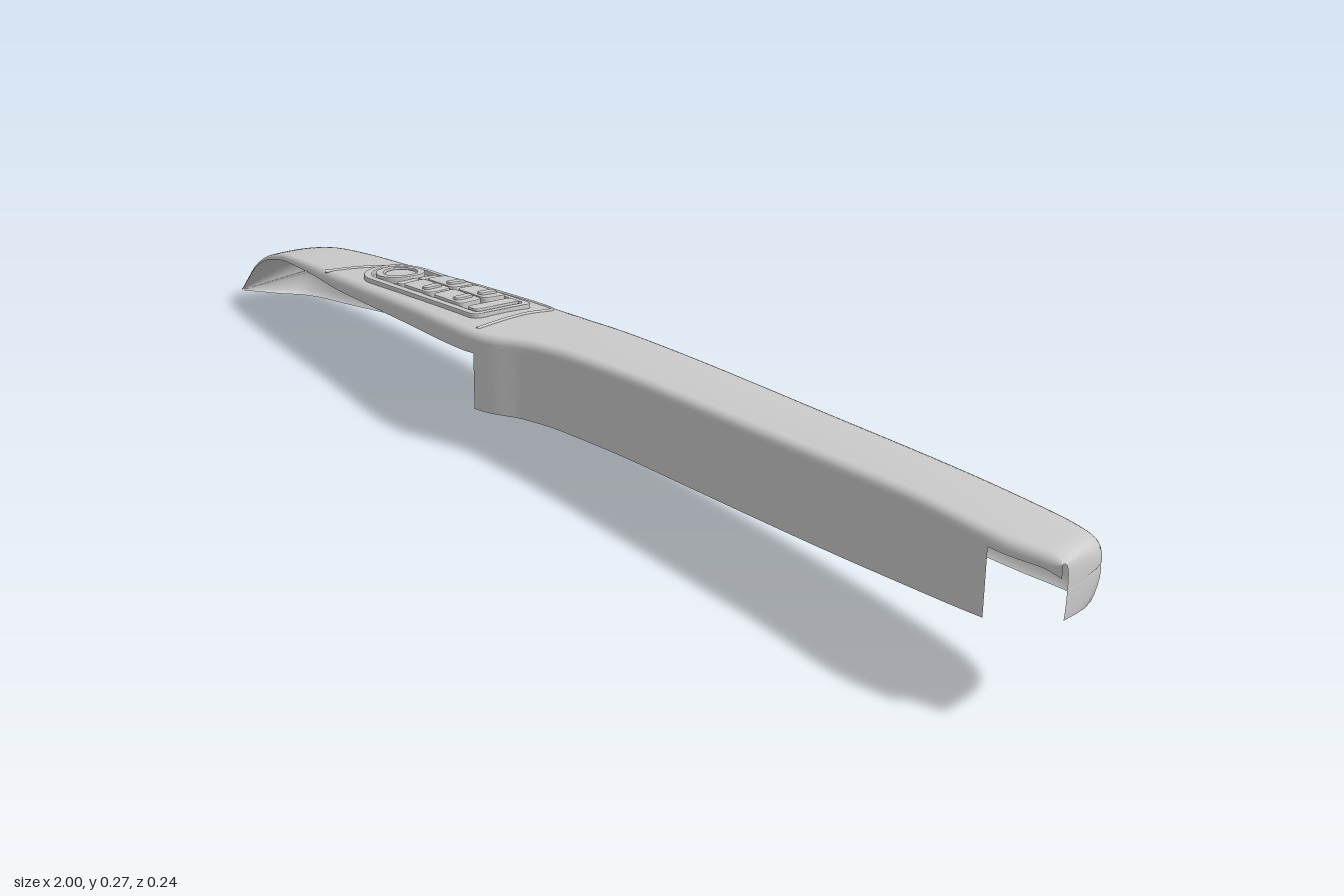
import * as THREE from 'three';

const mat = new THREE.MeshStandardMaterial({ color: 0xcccccc, side: THREE.DoubleSide });

// Monotone cubic curve through [x, value] points
function curve(...p) {
  const n = p.length;
  const d = p.slice(1).map((q, i) => (q[1] - p[i][1]) / (q[0] - p[i][0]));
  const m = p.map((_, i) => {
    if (i === 0) return d[0];
    if (i === n - 1) return d[n - 2];
    return d[i - 1] * d[i] <= 0 ? 0 : (2 * d[i - 1] * d[i]) / (d[i - 1] + d[i]);
  });
  return (x) => {
    let i = 0;
    while (i < n - 2 && x > p[i + 1][0]) i++;
    const h = p[i + 1][0] - p[i][0];
    const t = Math.min(1, Math.max(0, (x - p[i][0]) / h));
    const u = 1 - t;
    return p[i][1] * (1 + 2 * t) * u * u + m[i] * h * t * u * u
      + p[i + 1][1] * t * t * (3 - 2 * t) - m[i + 1] * h * t * t * u;
  };
}

// Outline curves along the length
const top = curve([-1, 0.012], [-0.97, 0.045], [-0.93, 0.085], [-0.87, 0.12], [-0.8, 0.14],
  [-0.6, 0.162], [-0.17, 0.206], [0.4, 0.241], [0.9, 0.267], [0.97, 0.268], [1, 0.262]);
const bottom = curve([-1, 0.008], [-0.93, 0], [-0.88, 0.003], [-0.6, 0.037], [-0.17, 0.077],
  [0.7, 0.125], [0.89, 0.145], [0.97, 0.165], [1, 0.18]);
const back = curve([-1, 0.06], [-0.965, 0.005], [-0.93, -0.045], [-0.88, -0.064], [-0.6, -0.094],
  [-0.3, -0.11], [0, -0.119], [0.5, -0.11], [0.88, -0.09], [0.94, -0.077], [0.975, -0.052],
  [0.99, -0.015], [1, 0.04]);
const front = curve([-1, 0.066], [-0.65, 0.092], [-0.4, 0.106], [-0.2, 0.118], [-0.15, 0.112],
  [-0.08, 0.083], [0, 0.068], [0.2, 0.058], [0.7, 0.058], [0.9, 0.068], [1, 0.052]);
const lip = curve([-1, 0.003], [-0.7, 0.016], [-0.6, 0.024], [-0.17, 0.036], [-0.1, 0.022], [1, 0.02]);
const wallBottom = curve([-0.17, 0.074], [0.3, 0.097], [0.7, 0.122], [0.89, 0.145]);

const seam = (x) => bottom(x) + 0.55 * (top(x) - bottom(x));
const scale = (x) => Math.min(1, (front(x) - back(x)) / 0.1);
const radius = (x) => Math.min(0.014 * scale(x), lip(x) * 0.8);
const P = 2.6;

// Height of the upper surface
function height(x, z) {
  const f = front(x) - radius(x);
  const s = Math.min(1, Math.max(0, (f - z) / (f - back(x))));
  return top(x) - (top(x) - seam(x)) * (1 - Math.pow(1 - Math.pow(s, P), 1 / P));
}

// Skin a row of cross-sections, each a list of [z, y]
function loft(xs, section) {
  const pos = [], idx = [];
  let n = 0;
  xs.forEach((x, i) => {
    const pts = section(x);
    n = pts.length;
    pts.forEach(([z, y]) => pos.push(x, y, z));
    if (i === 0) return;
    for (let j = 0; j < n - 1; j++) {
      const a = (i - 1) * n + j, b = a + n;
      idx.push(a, b, a + 1, b, b + 1, a + 1);
    }
  });
  const g = new THREE.BufferGeometry();
  g.setAttribute('position', new THREE.Float32BufferAttribute(pos, 3));
  g.setIndex(idx);
  g.computeVertexNormals();
  return g;
}

// Stations, closer together at both ends when eased
const stations = (a, b, n, eased) => Array.from({ length: n + 1 }, (_, i) => {
  const t = i / n;
  return a + (b - a) * (eased ? 0.4 * t + 0.6 * (1 - Math.cos(Math.PI * t)) / 2 : t);
});

function roundedEdge(x, r) {
  return [0, 1, 2, 3, 4].map((i) => {
    const a = (i / 4) * Math.PI / 2;
    return [front(x) - r * (1 - Math.cos(a)), top(x) - r * (1 - Math.sin(a))];
  });
}

function upperSection(x) {
  const r = radius(x), f = front(x) - r, pts = [[front(x), top(x) - lip(x)], ...roundedEdge(x, r)];
  for (let i = 1; i <= 18; i++) {
    const a = (i / 18) * Math.PI / 2;
    const s = Math.pow(Math.sin(a), 2 / P);
    const c = Math.pow(Math.max(0, Math.cos(a)), 2 / P);
    pts.push([f + (back(x) - f) * s, top(x) - (top(x) - seam(x)) * (1 - c)]);
  }
  return pts;
}

function lowerSection(x) {
  const k = scale(x), y0 = seam(x), h = y0 - bottom(x), z = back(x);
  return [[0, 0], [0.004, 0.03], [0.001, 0.09], [0, 0.2], [0.001, 0.4], [0.004, 0.6],
    [0.009, 0.8], [0.014, 0.94], [0.02, 1]].map(([dz, t]) => [z + dz * k, y0 - h * t]);
}

// Rounded outline with its own corner radius at each end
function outline(x0, z0, x1, z1, rl, rr = rl, Type = THREE.Shape) {
  const s = new Type(), q = Math.PI / 2;
  s.moveTo(x0 + rl, z0);
  s.absarc(x1 - rr, z0 + rr, rr, -q, 0, false);
  s.absarc(x1 - rr, z1 - rr, rr, 0, q, false);
  s.absarc(x0 + rl, z1 - rl, rl, q, 2 * q, false);
  s.absarc(x0 + rl, z0 + rl, rl, 2 * q, 3 * q, false);
  s.closePath();
  return s;
}

// Flat plate laid onto the upper surface
function drape(shape, lift, depth = 0.018, bevel = 0.002) {
  const g = new THREE.ExtrudeGeometry(shape, { depth, bevelEnabled: true, bevelSize: bevel,
    bevelThickness: bevel, bevelSegments: 2, curveSegments: 10 });
  g.rotateX(Math.PI / 2);
  const p = g.attributes.position;
  for (let i = 0; i < p.count; i++) {
    p.setY(i, p.getY(i) + height(p.getX(i), p.getZ(i)) + lift);
  }
  g.computeVertexNormals();
  return g;
}

export function createModel() {
  const model = new THREE.Group();
  const add = (name, geometry, parent = model) => {
    const mesh = new THREE.Mesh(geometry, mat);
    mesh.name = name;
    parent.add(mesh);
    return mesh;
  };

  // Armrest shell: padded top and lower side band, open underneath
  const xs = stations(-1, 1, 110, true);
  add('upperShell', loft(xs, upperSection));
  add('lowerSideBand', loft(xs, lowerSection));

  // Front wall hanging from the top edge
  add('frontWall', loft(stations(-0.17, 0.89, 60), (x) => {
    const y = top(x) - radius(x);
    return [0, 0.33, 0.67, 1].map((t) => [front(x), wallBottom(x) * t + y * (1 - t)]).reverse();
  }));

  // Seam around the switch panel
  const path = new THREE.CatmullRomCurve3([[-0.655, 0.09], [-0.635, 0.045], [-0.6, -0.015],
    [-0.55, -0.047], [-0.45, -0.06], [-0.33, -0.07], [-0.225, -0.075], [-0.2, -0.06],
    [-0.193, 0], [-0.185, 0.06], [-0.18, 0.1]].map(([x, z]) => new THREE.Vector3(x, 0, z)));
  const draped = path.getPoints(60).map((v) => v.setY(height(v.x, v.z)));
  add('panelSeam', new THREE.TubeGeometry(new THREE.CatmullRomCurve3(draped), 90, 0.003, 6));

  // Window switch cluster
  const cluster = new THREE.Group();
  cluster.name = 'switchCluster';
  model.add(cluster);

  const frame = outline(-0.59, -0.04, -0.222, 0.074, 0.056, 0.016);
  frame.holes.push(outline(-0.58, -0.031, -0.231, 0.065, 0.047, 0.01, THREE.Path));
  add('switchFrame', drape(frame, 0.006), cluster);

  const ring = outline(-0.566, -0.022, -0.486, 0.058, 0.04);
  ring.holes.push(outline(-0.557, -0.013, -0.495, 0.049, 0.031, 0.031, THREE.Path));
  add('mirrorKnobRing', drape(ring, 0.009), cluster);
  add('mirrorKnob', drape(outline(-0.551, -0.007, -0.501, 0.043, 0.025), 0.006), cluster);

  for (const z of [-0.022, 0.021]) {
    add('smallButton', drape(outline(-0.477, z, -0.462, z + 0.036, 0.004), 0.006), cluster);
  }
  for (const x of [-0.45, -0.36]) {
    for (const z of [-0.027, 0.021]) {
      add('windowSwitch', drape(outline(x, z, x + 0.08, z + 0.041, 0.01), 0.01), cluster);
      add('windowSwitchRidge', drape(outline(x + 0.05, z + 0.006, x + 0.062, z + 0.035, 0.004), 0.014), cluster);
    }
  }
  add('lockButton', drape(outline(-0.264, -0.025, -0.24, 0.059, 0.006), 0.008), cluster);

  return model;
}
